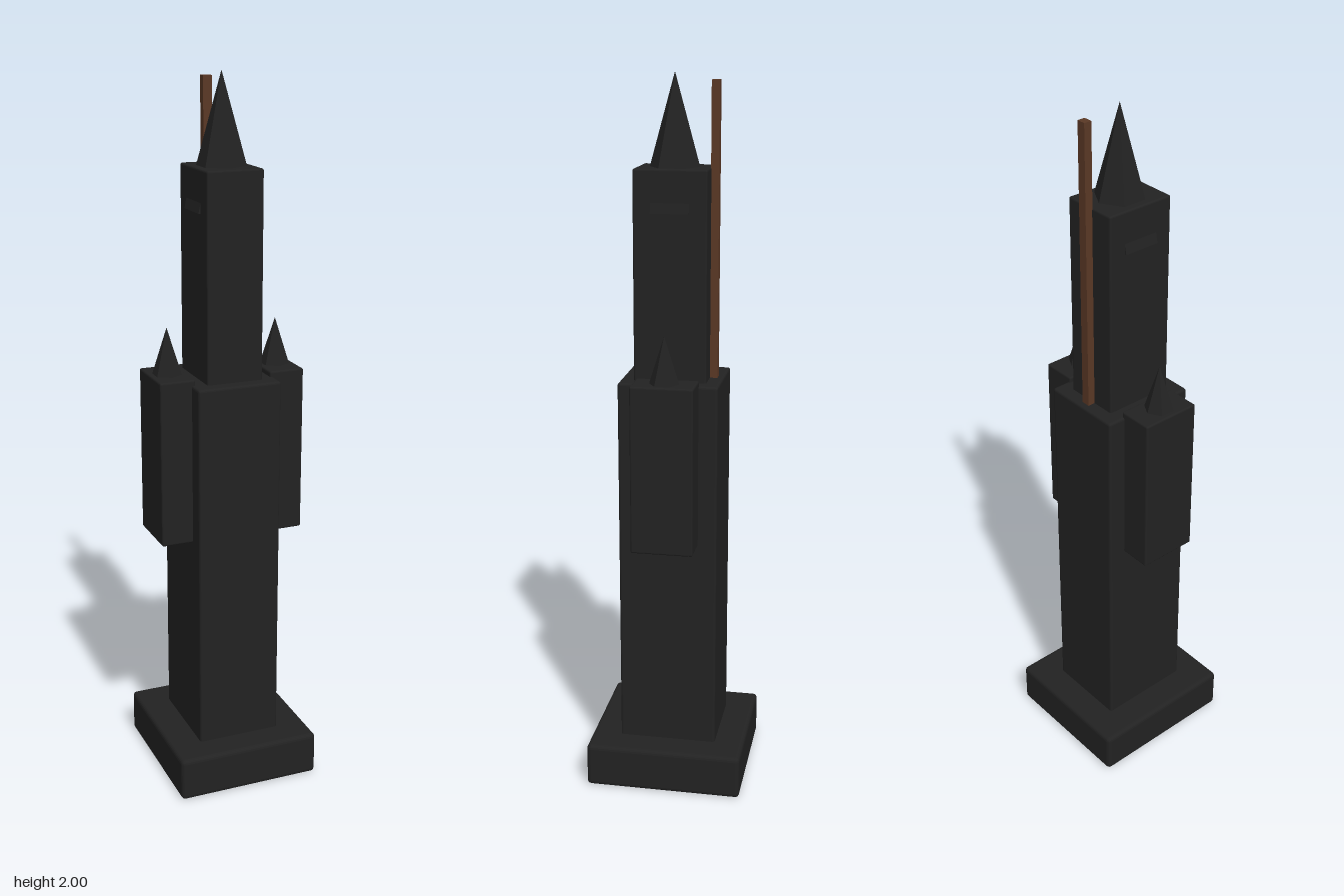
import * as THREE from 'three';
import { RoundedBoxGeometry } from 'three/addons/geometries/RoundedBoxGeometry.js';

export function createModel() {
  const model = new THREE.Group();
  model.name = 'tower';
  const stone = new THREE.MeshStandardMaterial({ color: 0x222222, flatShading: true });
  stone.name = 'dark stone';
  const wood = new THREE.MeshStandardMaterial({ color: 0x5a3825, flatShading: true });
  wood.name = 'brown wood';

  const add = (name, geometry, material, x, y, z) => {
    const mesh = new THREE.Mesh(geometry, material);
    mesh.name = name;
    mesh.position.set(x, y, z);
    model.add(mesh);
    return mesh;
  };
  // Softly bevelled block given by its size and bottom height
  const block = (name, w, h, d, x, y0, bevel) =>
    add(name, new RoundedBoxGeometry(w, h, d, 2, bevel), stone, x, y0 + h / 2, 0);
  // Six-sided spire with corners toward front and back
  const spire = (name, r, h, x, y0) =>
    add(name, new THREE.ConeGeometry(r, h, 6), stone, x, y0 + h / 2, 0);

  // Stacked main body
  block('base', 0.416, 0.125, 0.444, 0, 0, 0.012);
  block('shaft', 0.24, 1.085, 0.276, 0, 0.1, 0.007);
  block('upperTower', 0.16, 0.605, 0.2, 0, 1.15, 0.005);
  spire('mainSpire', 0.068, 0.245, 0, 1.755);

  // Sloped ledge profile, extruded along z
  const profile = new THREE.Shape();
  profile.moveTo(0.07, 1.64);
  profile.lineTo(0.086, 1.64);
  profile.lineTo(0.079, 1.672);
  profile.lineTo(0.07, 1.672);
  const ledge = new THREE.ExtrudeGeometry(profile, { depth: 0.104, bevelEnabled: false });
  ledge.translate(0, 0, -0.052);

  // Side turrets and ledges
  for (const side of [1, -1]) {
    const label = side > 0 ? 'left' : 'right';
    block(label + 'Turret', 0.1, 0.47, 0.172, side * 0.16, 0.73, 0.005);
    spire(label + 'TurretSpire', 0.041, 0.13, side * 0.16, 1.2);
    add(label + 'Ledge', ledge, stone, 0, 0, 0).rotation.y = side > 0 ? 0 : Math.PI;
  }

  // Square pole behind the upper tower
  add('pole', new THREE.BoxGeometry(0.025, 0.8, 0.022), wood, 0, 1.58, -0.11);
  return model;
}
